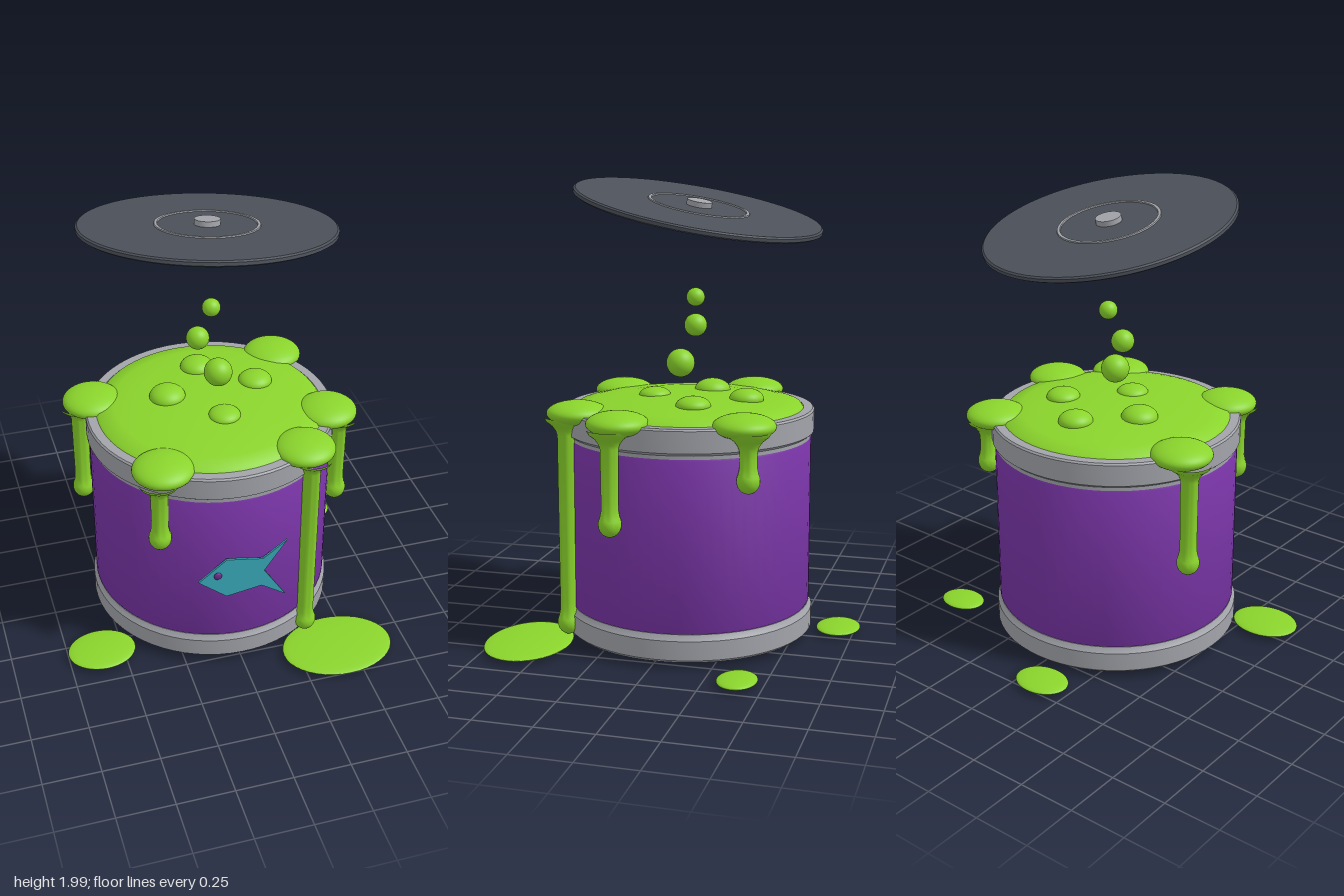
import * as THREE from 'three';
import { toCreasedNormals } from 'three/addons/utils/BufferGeometryUtils.js';

const mat = (name, color) => Object.assign(new THREE.MeshStandardMaterial({ color }), { name });

export function createModel() {
  const purple = mat('purple paint', 0x7a35a8);
  const grey = mat('grey metal', 0xa2a4aa);
  const dark = mat('dark lid', 0x4c515a);
  const green = mat('green slime', 0x8ad42c);
  const teal = mat('teal fish', 0x36a8b6);
  const plum = mat('plum eye', 0x6a2a88);

  const model = new THREE.Group();
  const add = (name, geometry, material, x = 0, y = 0, z = 0, parent = model) => {
    const mesh = new THREE.Mesh(geometry, material);
    mesh.name = name;
    mesh.position.set(x, y, z);
    parent.add(mesh);
    return mesh;
  };
  // Profiles run from the bottom up, as [radius, height]
  const lathe = (profile, segments = 64, crease = 0.5) => toCreasedNormals(
    new THREE.LatheGeometry(profile.map(([r, y]) => new THREE.Vector2(r, y)), segments), crease);
  const ellipsoid = (rx, ry, rz) => new THREE.SphereGeometry(1, 40, 24).scale(rx, ry, rz);

  // Can
  const can = new THREE.Group();
  can.name = 'can';
  can.position.set(0.005, 0, -0.02);
  model.add(can);
  add('canBody', lathe([[0.527, 0.145], [0.535, 0.16], [0.535, 0.885], [0.527, 0.9]]), purple, 0, 0, 0, can);
  add('bottomRim', lathe([[0, 0.03], [0.535, 0.03], [0.547, 0.042], [0.547, 0.125],
    [0.537, 0.138], [0.532, 0.15], [0.52, 0.15]]), grey, 0, 0, 0, can);
  add('topRim', lathe([[0.52, 0.892], [0.532, 0.892], [0.532, 0.908], [0.547, 0.92], [0.547, 1.012],
    [0.54, 1.02], [0.5, 1.02], [0.5, 0.96]]), grey, 0, 0, 0, can);

  // Slime filling the can, with half-sunk bubbles
  add('slimeSurface', lathe([[0.51, 1.005], [0.49, 1.03], [0.42, 1.046], [0.3, 1.06],
    [0.15, 1.068], [0, 1.07]], 64, 1), green, 0, 0, 0, can);
  for (const [x, z, r, h] of [[0.03, 0.13, 0.07, 0.035], [0.24, -0.1, 0.075, 0.04],
    [0.02, -0.28, 0.075, 0.045], [-0.17, -0.08, 0.08, 0.05]]) {
    add('slimeBubble', ellipsoid(r, h, r), green, x, 1.063, z);
  }

  // Drips: blob over the rim, then a stem with a swollen tip
  const drips = [
    // blob x, blob z, stem x, stem z, tip height
    [0.305, 0.395, 0.325, 0.44, 0.035],
    [-0.31, 0.38, -0.34, 0.425, 0.645],
    [0.49, 0.155, 0.54, 0.175, 0.55],
    [0.405, -0.36, 0.435, -0.385, 0.745],
    [-0.483, -0.205, -0.54, -0.225, 0.49],
  ];
  for (const [bx, bz, sx, sz, tip] of drips) {
    add('rimBlob', ellipsoid(0.132, 0.052, 0.132), green, bx, 1.02, bz);
    const profile = [];
    for (let i = 0; i <= 10; i++) {
      const a = i / 10 * 2.1;
      profile.push([0.049 * Math.sin(a), tip + 0.055 * (1 - Math.cos(a))]);
    }
    profile.push([0.037, tip + 0.11], [0.036, tip + 0.15], [0.038, 0.925], [0.045, 0.945],
      [0.06, 0.965], [0.085, 0.985], [0.095, 1.005]);
    add('drip', lathe(profile, 28, 1), green, sx, 0, sz);
  }

  // Puddles on the floor
  for (const [x, z, rx, rz] of [[0.432, 0.585, 0.252, 0.185], [-0.598, 0.32, 0.153, 0.124],
    [-0.11, -0.68, 0.123, 0.097], [0.635, -0.39, 0.107, 0.084]]) {
    add('puddle', ellipsoid(rx, 0.018, rz), green, x, 0.022, z);
  }

  // Flying drops
  for (const [x, y, z, r] of [[0.035, 1.21, 0.012, 0.062], [-0.043, 1.368, -0.035, 0.05],
    [0.022, 1.498, -0.052, 0.04]]) {
    add('slimeDrop', ellipsoid(r, r, r), green, x, y, z);
  }

  // Tilted lid floating above
  const lid = new THREE.Group();
  lid.name = 'lid';
  lid.position.set(0.007, 1.875, -0.06);
  lid.quaternion.setFromUnitVectors(new THREE.Vector3(0, 1, 0),
    new THREE.Vector3(0.075, 1, -0.2).normalize());
  model.add(lid);
  add('lidDisc', lathe([[0, -0.014], [0.53, -0.014], [0.541, -0.007], [0.541, 0.007],
    [0.533, 0.013], [0, 0.013]]), dark, 0, 0, 0, lid);
  add('lidRing', lathe([[0.222, 0.01], [0.219, 0.018], [0.207, 0.018], [0.204, 0.01]]), grey, 0, 0, 0, lid);
  add('lidKnob', new THREE.CylinderGeometry(0.055, 0.055, 0.024, 32), grey, 0, 0.024, 0, lid);

  // Fish plate on the front
  const outline = [[-0.2, 0.495], [-0.075, 0.39], [0.085, 0.415], [0.195, 0.34],
    [0.095, 0.497], [0.195, 0.645], [0.088, 0.565], [-0.075, 0.595]];
  const fish = new THREE.Shape(outline.map(([x, y]) => new THREE.Vector2(x, y)));
  add('fish', new THREE.ExtrudeGeometry(fish, { depth: 0.0095, bevelEnabled: false }), teal, 0, 0, 0.517);
  add('fishEye', ellipsoid(0.018, 0.018, 0.009), plum, -0.115, 0.515, 0.528);

  return model;
}
